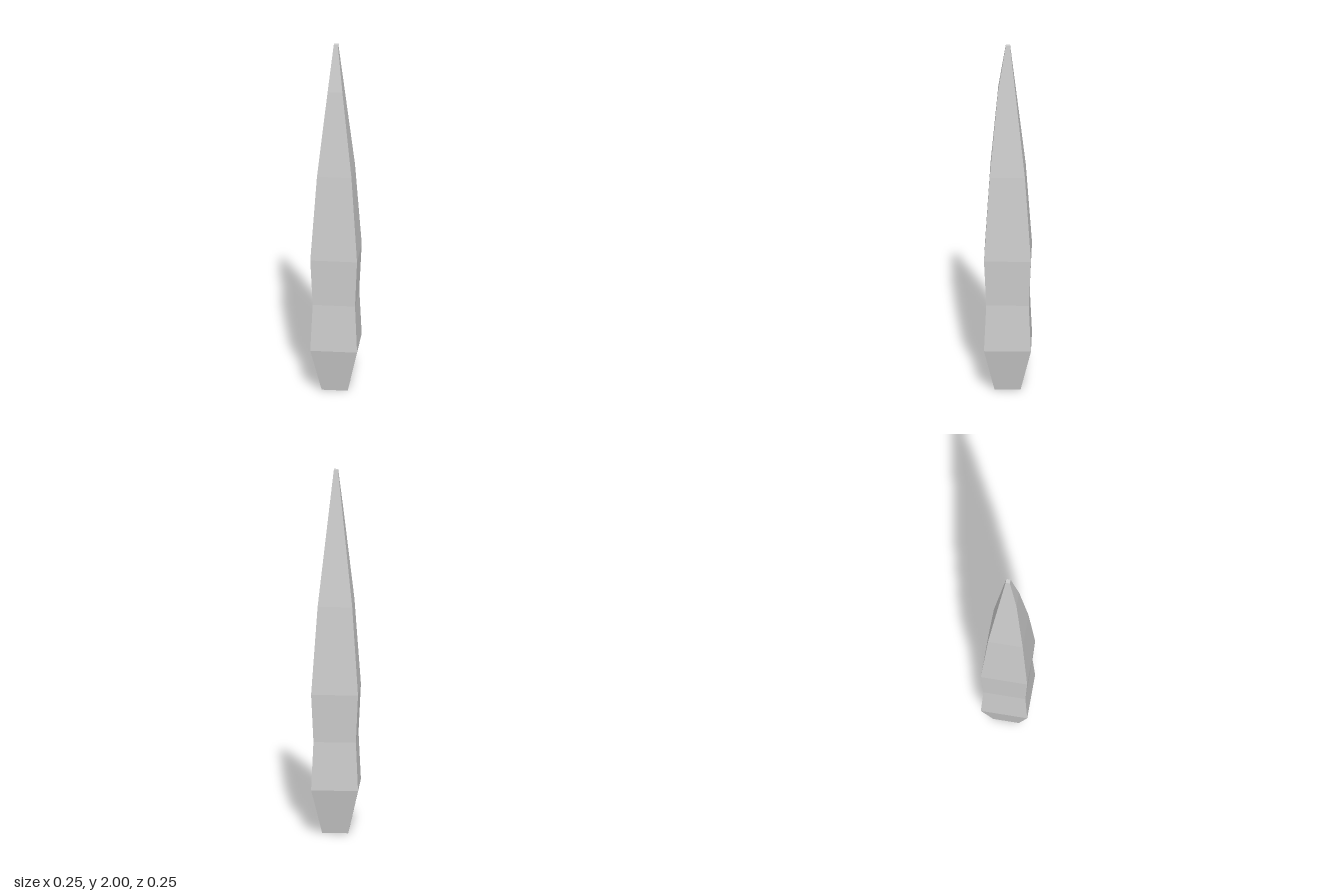
import * as THREE from 'three';

// Rings from bottom to top: height, half width, front depth, back depth
const RINGS = [
  [0, 0.07, 0.07, 0.07],
  [0.25, 0.126, 0.125, 0.127],
  [0.515, 0.114, 0.113, 0.115],
  [0.78, 0.126, 0.125, 0.127],
  [1.26, 0.093, 0.095, 0.094],
  [1.74, 0.04, 0.052, 0.041],
  [2, 0.011, 0.011, 0.012],
];

// Joins rectangular rings into a closed, faceted solid
function loftRings(rings) {
  const corners = rings.map(([y, w, front, back]) => [
    [w, y, front], [w, y, -back], [-w, y, -back], [-w, y, front],
  ]);
  const positions = [];
  const quad = (a, b, c, d) => positions.push(...a, ...b, ...c, ...a, ...c, ...d);

  for (let r = 0; r < corners.length - 1; r++) {
    const lower = corners[r], upper = corners[r + 1];
    for (let i = 0; i < 4; i++) {
      const j = (i + 1) % 4;
      quad(lower[i], lower[j], upper[j], upper[i]);
    }
  }
  quad(...corners[corners.length - 1]); // top cap
  quad(...[...corners[0]].reverse()); // bottom cap

  const geometry = new THREE.BufferGeometry();
  geometry.setAttribute('position', new THREE.Float32BufferAttribute(positions, 3));
  geometry.computeVertexNormals();
  return geometry;
}

export function createModel() {
  const group = new THREE.Group();
  group.name = 'spike';

  // Tapered four-sided spike with a slight waist
  const material = new THREE.MeshStandardMaterial({ color: 0xcccccc, flatShading: true });
  const body = new THREE.Mesh(loftRings(RINGS), material);
  body.name = 'spikeBody';
  group.add(body);

  return group;
}
